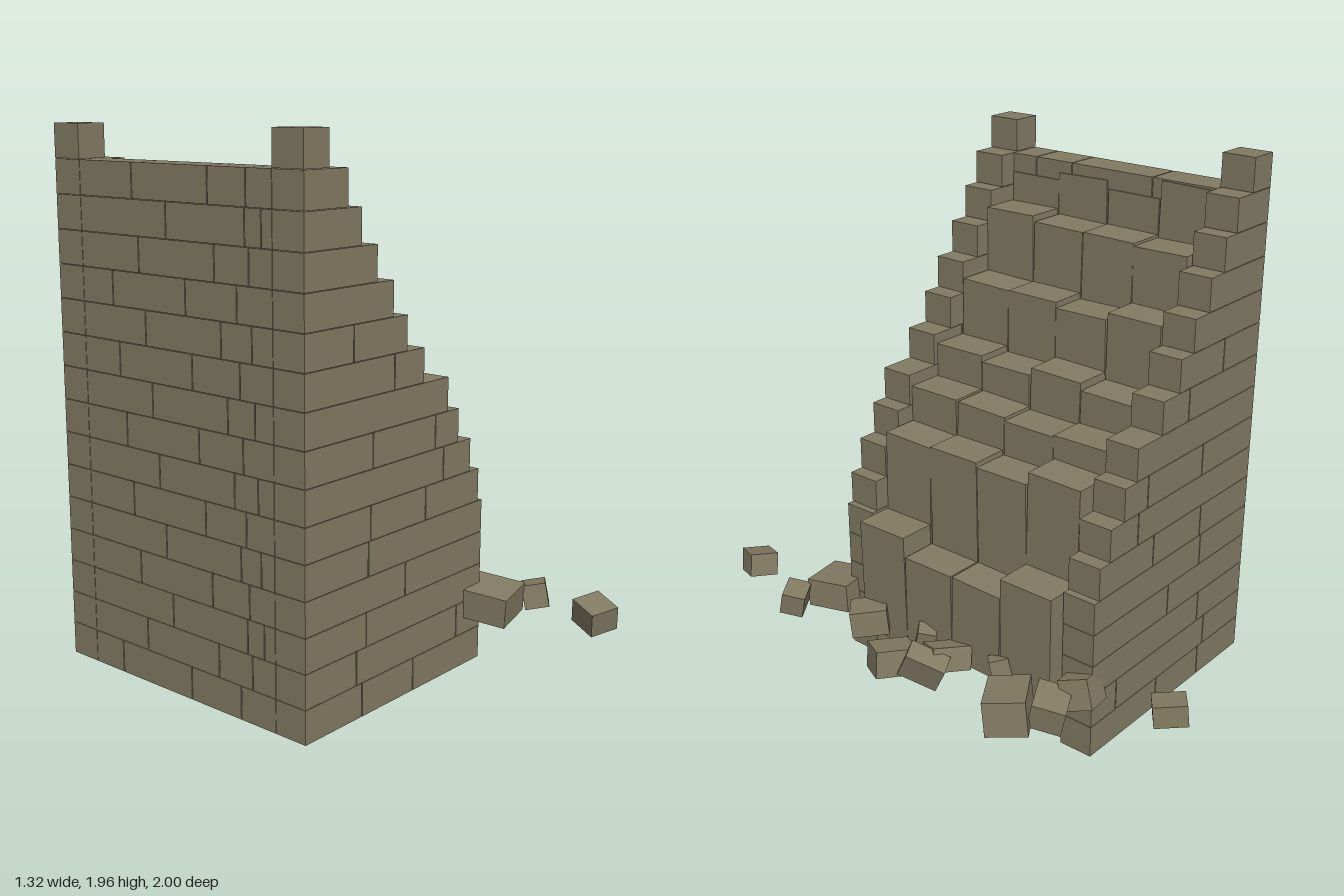
import * as THREE from 'three';

const stone = new THREE.MeshStandardMaterial({ color: 0x827b63 });
stone.name = 'weatheredStone';

const COURSE = 0.1229, GAP = 0.004;

function block(parent, name, [x0, x1], [y0, y1], [z0, z1]) {
  const mesh = new THREE.Mesh(new THREE.BoxGeometry(x1 - x0, y1 - y0, z1 - z0), stone);
  mesh.position.set((x0 + x1) / 2, (y0 + y1) / 2, (z0 + z1) / 2);
  mesh.name = name;
  parent.add(mesh);
  return mesh;
}

// Calls fn(start, end) for each brick between the given joints, leaving thin gaps
function bricks(start, end, joints, fn) {
  const cuts = [start, ...joints.filter(j => j > start && j < end), end];
  for (let i = 0; i < cuts.length - 1; i++) {
    fn(cuts[i] + (i ? GAP / 2 : 0), cuts[i + 1] - (i < cuts.length - 2 ? GAP / 2 : 0));
  }
}

export function createModel() {
  const model = new THREE.Group();
  model.name = 'ruinedStoneTower';
  const add = name => {
    const g = new THREE.Group();
    g.name = name;
    model.add(g);
    return g;
  };

  // Two stepped side walls: broken end and brick joints of every course
  const ends = [0.31, 0.31, 0.31, 0.31, 0.31, 0.285, 0.23, 0.155, 0.09, -0.05,
    -0.145, -0.22, -0.305, -0.385, -0.45, -0.54];
  const joints = [[-0.37, -0.09], [-0.4, 0.165], [-0.35], [-0.14], [-0.34], [-0.33, -0.03],
    [0.07], [-0.32, 0.02], [], [-0.21], [-0.42], [], [], [], [], []];
  const sides = [['frontWall', [0.36, 0.49]], ['rearWall', [-0.68, -0.55]]];
  for (const [name, z] of sides) {
    const wall = add(name);
    ends.forEach((end, i) => bricks(-0.655, end, joints[i], (a, b) =>
      block(wall, 'wallBrick', [a, b], [i * COURSE, (i + 1) * COURSE - GAP / 2], z)));
  }

  // Tall wall joining the two side walls
  const tallWall = add('tallWall');
  for (let i = 0; i < 15; i++) {
    const shift = (i * 0.137) % 0.3;
    bricks(-0.548, 0.358, [-0.4 + shift, -0.04 + shift, 0.2 + shift * 0.4], (a, b) =>
      block(tallWall, 'wallBrick', [-0.655, -0.52], [i * COURSE, (i + 1) * COURSE - GAP / 2], [a, b]));
  }

  // Hollow cascade of fallen stair blocks: four columns, stepping down along x
  const stair = add('collapsedStair');
  const zCuts = [0.358, 0.132, -0.094, -0.32, -0.548];
  const xCuts = [-0.65, -0.512, -0.36, -0.212, -0.064, 0.082, 0.23, 0.376];
  const tops = [
    [1.77, 1.80, 1.77, 1.835], [1.66, 1.64, 1.64, 1.63], [1.41, 1.41, 1.39, 1.42],
    [1.19, 1.17, 1.20, 1.17], [1.06, 1.055, 1.04, 1.05], [0.92, 0.925, 0.91, 0.96],
    [0.605, 0.53, 0.53, 0.605],
  ];
  const lowest = [0.15, 0.18, 0.19, 0.16];
  tops.forEach((row, i) => row.forEach((top, c) => {
    const bottom = i === 6 ? lowest[c] : top - 0.43;
    const b = block(stair, 'stairBlock', [xCuts[i], xCuts[i + 1] - 0.002], [bottom, top],
      [zCuts[c + 1] + 0.002, zCuts[c] - 0.002]);
    b.rotation.x = 0.018 * Math.sin(i * 2.3 + c * 1.7);
  }));

  // Loose rubble: x, y, z, width, height, depth, turn, tilt
  const rubble = add('rubble');
  [
    [0.19, 0.24, -0.92, 0.10, 0.08, 0.12, 0.65, 0.1],
    [0.32, 0.27, -0.645, 0.13, 0.11, 0.11, 0.3, 0.3],
    [0.44, 0.24, -0.60, 0.14, 0.10, 0.12, 0.5, -0.2],
    [0.53, 0.245, -0.49, 0.19, 0.13, 0.15, 0.58, 0.1],
    [0.38, 0.25, -0.33, 0.06, 0.09, 0.07, 0.8, 0.2],
    [0.43, 0.24, -0.12, 0.15, 0.09, 0.10, -0.4, 0.25],
    [0.53, 0.24, -0.10, 0.08, 0.11, 0.15, 0.55, -0.4],
    [0.56, 0.235, 0.03, 0.15, 0.10, 0.12, -0.5, 0.15],
    [0.39, 0.24, 0.02, 0.07, 0.09, 0.07, 0.7, -0.2],
    [0.41, 0.235, 0.29, 0.13, 0.10, 0.14, 0.75, 0.1],
    [0.32, 0.235, 0.54, 0.19, 0.11, 0.18, 0.22, 0.08],
    [0.49, 0.23, 0.62, 0.11, 0.09, 0.09, 0.6, -0.2],
    [0.41, 0.25, 0.92, 0.11, 0.09, 0.12, -0.4, 0.2],
  ].forEach(([x, y, z, w, h, d, turn, tilt]) => {
    const r = block(rubble, 'rubbleBlock', [x - w / 2, x + w / 2], [y - h / 2, y + h / 2],
      [z - d / 2, z + d / 2]);
    r.rotation.set(tilt, turn, tilt * 0.7, 'YXZ');
  });

  return model;
}
